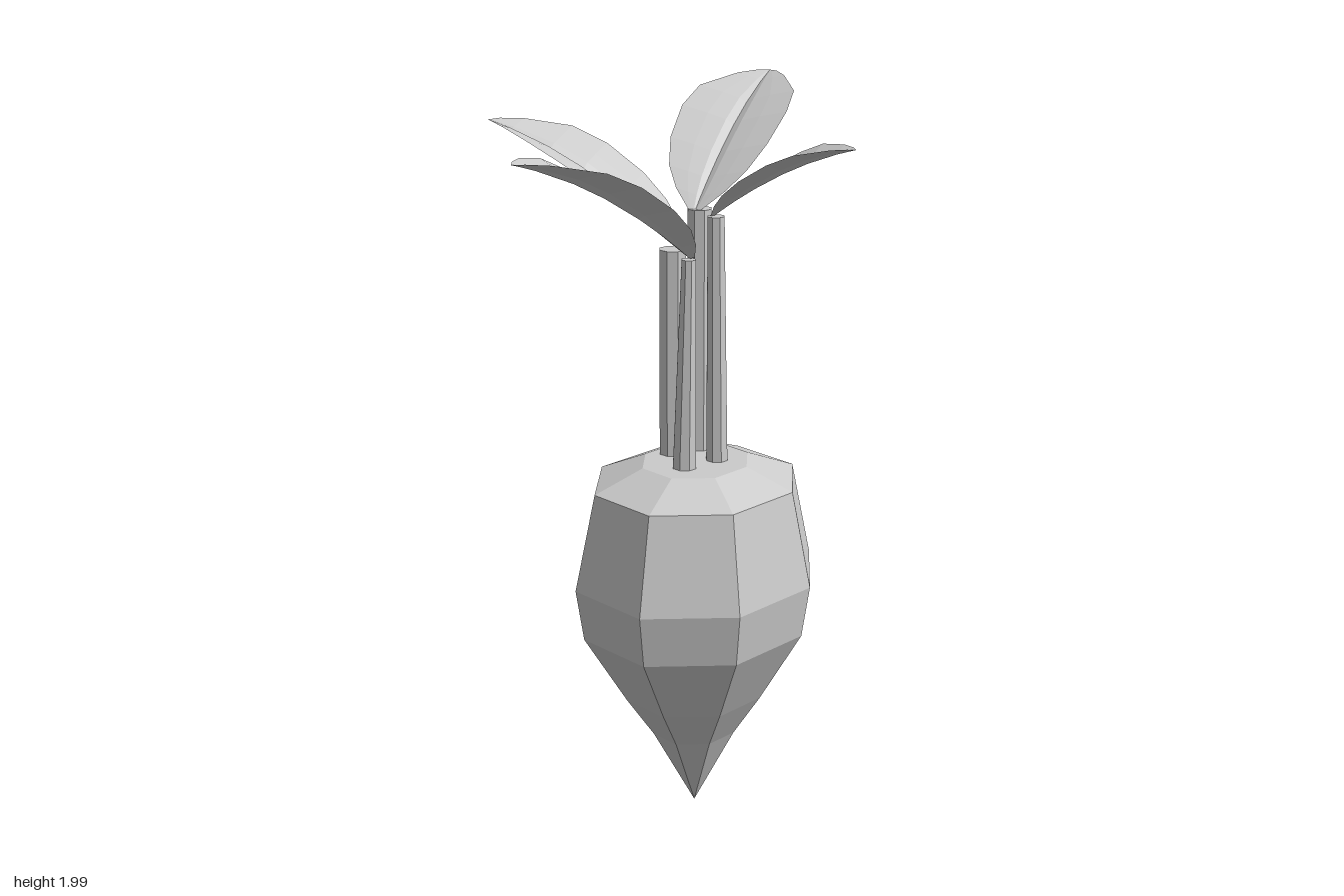
import * as THREE from 'three';

const rootMaterial = new THREE.MeshStandardMaterial({ color: 0xcccccc, flatShading: true });
const leafMaterial = new THREE.MeshStandardMaterial({ color: 0xcccccc, flatShading: true, side: THREE.DoubleSide });

// Outline of a leaf: [position along the midrib, share of the half width]
const OUTLINE = [[0, 0.12], [0.07, 0.46], [0.16, 0.73], [0.3, 0.92], [0.5, 1], [0.67, 0.91], [0.87, 0.45], [0.96, 0.18], [1, 0]];
// Cross-section of a leaf: [share across, share of the edge rise], a groove with lifted edges
const SECTION = [[-1, 1], [-0.5, 0.62], [-0.15, 0.3], [0, 0], [0.15, 0.3], [0.5, 0.62], [1, 1]];

// Folded leaf blade arching from its base to its tip
function makeLeaf(base, tip, halfWidth, rise) {
  const start = new THREE.Vector3(...base);
  const span = new THREE.Vector3(...tip).sub(start);
  const across = new THREE.Vector3(span.z, 0, -span.x).normalize();
  const positions = [];
  const indices = [];
  const n = SECTION.length;
  OUTLINE.forEach(([t, w], i) => {
    const arch = 1.5 * t - 0.5 * t * t;
    SECTION.forEach(([u, lift], j) => {
      const side = u * w * halfWidth;
      positions.push(
        start.x + span.x * t + across.x * side,
        start.y + span.y * arch + lift * rise * w,
        start.z + span.z * t + across.z * side
      );
      if (i && j) {
        const d = i * n + j, c = d - 1, b = d - n, a = b - 1;
        indices.push(a, b, c, b, d, c);
      }
    });
  });
  const geometry = new THREE.BufferGeometry();
  geometry.setAttribute('position', new THREE.Float32BufferAttribute(positions, 3));
  geometry.setIndex(indices);
  geometry.computeVertexNormals();
  return new THREE.Mesh(geometry, leafMaterial);
}

// Slightly leaning, tapered stem between two points
function makeStem(bottom, top, bottomRadius, topRadius) {
  const a = new THREE.Vector3(...bottom);
  const b = new THREE.Vector3(...top);
  const axis = b.clone().sub(a);
  const mesh = new THREE.Mesh(new THREE.CylinderGeometry(topRadius, bottomRadius, axis.length(), 8), rootMaterial);
  mesh.position.copy(a).add(b).multiplyScalar(0.5);
  mesh.quaternion.setFromUnitVectors(new THREE.Vector3(0, 1, 0), axis.normalize());
  return mesh;
}

export function createModel() {
  const model = new THREE.Group();
  model.name = 'rootVegetable';

  // Eight-sided bulb, a little deeper than wide, pointed at the bottom
  const profile = [[0, 0], [0.118, 0.23], [0.195, 0.35], [0.313, 0.555], [0.335, 0.7], [0.28, 0.965], [0.148, 1.02], [0, 1.02]];
  const bulb = new THREE.Mesh(
    new THREE.LatheGeometry(profile.map(([r, y]) => new THREE.Vector2(r, y)), 8),
    rootMaterial
  );
  bulb.name = 'bulb';
  bulb.scale.z = 1.145;
  bulb.position.set(0.095, 0, 0.045);
  model.add(bulb);

  // Four stems, each carrying one leaf
  const shoots = [
    { name: 'front', foot: [0.09, 1.01, 0.112], head: [0.098, 1.59, 0.106], r: [0.034, 0.02],
      base: [0.1, 1.59, 0.1], tip: [-0.16, 1.905, 0.605], width: 0.15, rise: 0.05 },
    { name: 'back', foot: [0.06, 1.01, -0.062], head: [0.06, 1.69, -0.062], r: [0.036, 0.034],
      base: [0.055, 1.685, -0.04], tip: [0.055, 1.985, -0.605], width: 0.153, rise: 0.045 },
    { name: 'left', foot: [0.012, 1.01, 0.008], head: [0.012, 1.59, 0.008], r: [0.038, 0.038],
      base: [0.04, 1.595, 0.01], tip: [-0.53, 1.9, 0.01], width: 0.153, rise: 0.045 },
    { name: 'right', foot: [0.145, 1.01, 0.015], head: [0.138, 1.69, 0.015], r: [0.031, 0.024],
      base: [0.125, 1.685, 0.008], tip: [0.525, 1.895, 0.038], width: 0.107, rise: 0.04 }
  ];
  for (const s of shoots) {
    const stem = makeStem(s.foot, s.head, ...s.r);
    stem.name = s.name + 'Stem';
    const leaf = makeLeaf(s.base, s.tip, s.width, s.rise);
    leaf.name = s.name + 'Leaf';
    model.add(stem, leaf);
  }
  return model;
}
